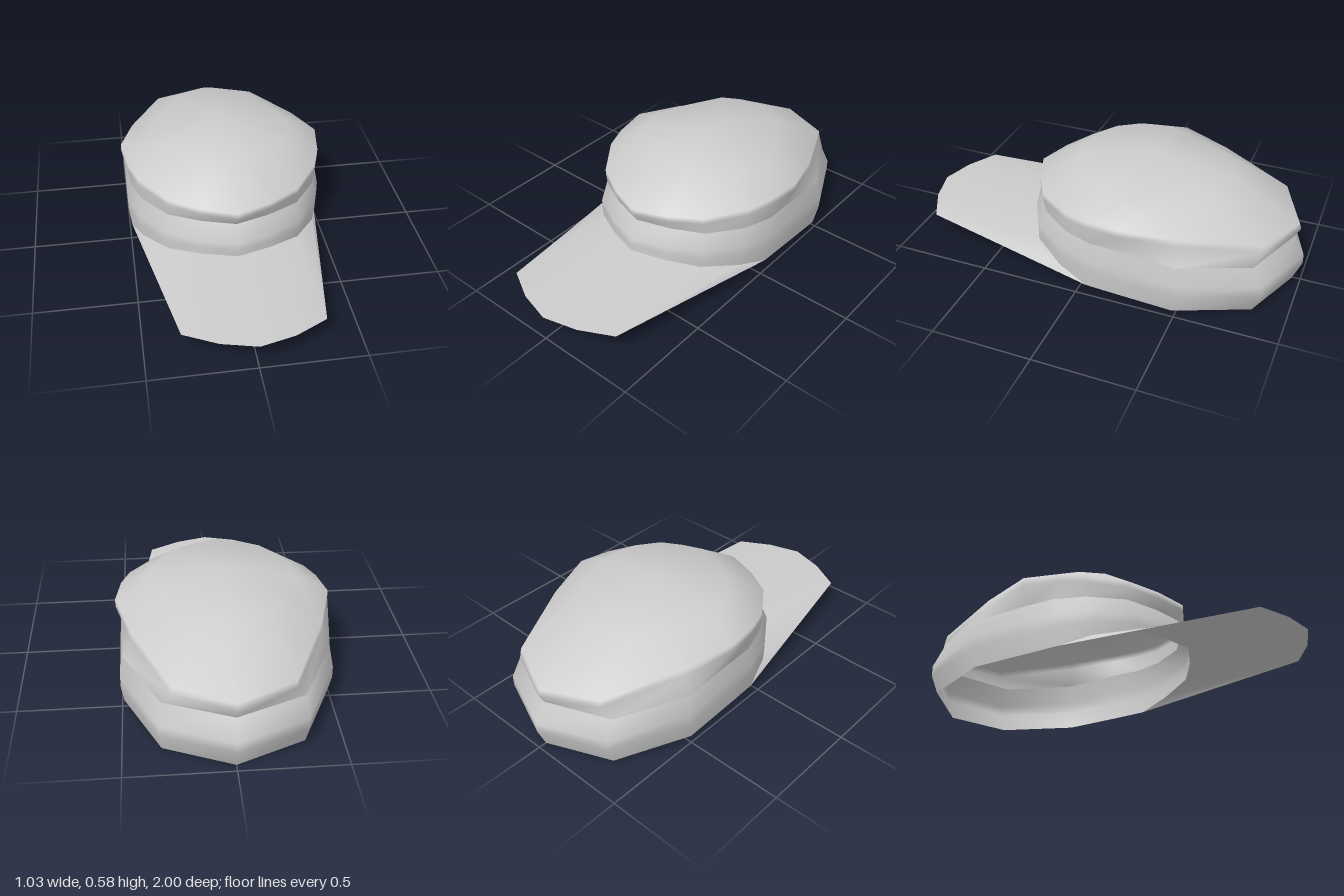
import * as THREE from 'three';
import { mergeVertices } from 'three/addons/utils/BufferGeometryUtils.js';

const material = new THREE.MeshStandardMaterial({ color: 0xcccccc, side: THREE.DoubleSide });

// Half outlines from back to front: [x as part of half width, position from back 0 to front 1]
const bandOutline = [[0, 0], [0.66, 0.093], [1, 0.343], [1, 0.55], [1, 0.664], [0.9, 0.779], [0.66, 0.9], [0.34, 0.96], [0, 1]];
const crownOutline = [[0, 0], [0.53, 0.09], [0.86, 0.36], [1, 0.54], [0.95, 0.67], [0.87, 0.76], [0.62, 0.89], [0.33, 0.955], [0, 1]];
const SIDE = 0.55;

// Adds the mirrored right half to a left half running back to front
const mirror = (half) => [...half, ...half.slice(1, -1).reverse().map(([x, y, z]) => [-x, y, z])];

// Closed ring; y is [back, side, front] or one height per half-outline point
function ring(outline, width, back, front, y) {
  return mirror(outline.map(([x, u], i) => {
    const h = y.length > 3 ? y[i]
      : u < SIDE ? THREE.MathUtils.lerp(y[0], y[1], u / SIDE)
        : THREE.MathUtils.lerp(y[1], y[2], (u - SIDE) / (1 - SIDE));
    return [x * width, h, THREE.MathUtils.lerp(back, front, u)];
  }));
}

// Smooth skin across a list of equal-length rows
function skin(name, rows, closed) {
  const n = rows[0].length;
  const index = [];
  for (let r = 0; r < rows.length - 1; r++) {
    for (let c = 0; c < (closed ? n : n - 1); c++) {
      const a = r * n + c, b = r * n + (c + 1) % n;
      index.push(a, a + n, b, b, a + n, b + n);
    }
  }
  let geometry = new THREE.BufferGeometry();
  geometry.setAttribute('position', new THREE.Float32BufferAttribute(rows.flat(2), 3));
  geometry.setIndex(index);
  geometry = mergeVertices(geometry, 1e-4);
  geometry.computeVertexNormals();
  const mesh = new THREE.Mesh(geometry, material);
  mesh.name = name;
  return mesh;
}

export function createModel() {
  const cap = new THREE.Group();
  cap.name = 'cap';

  // Head band, open underneath, raised at the front where the visor joins
  const hem = ring(bandOutline, 0.49, -0.96, 0.41,
    [0.0, 0.01, 0.027, 0.041, 0.05, 0.095, 0.128, 0.143, 0.15]);
  const seam = ring(bandOutline, 0.485, -0.94, 0.36, [0.245, 0.297, 0.31]);
  cap.add(skin('headBand', [
    hem,
    ring(bandOutline, 0.502, -1, 0.41, [0.1, 0.135, 0.185]),
    ring(bandOutline, 0.502, -1, 0.41, [0.15, 0.2, 0.225]),
    seam,
  ], true));

  // Overhanging crown with a low domed top
  cap.add(skin('crown', [
    seam,
    ring(crownOutline, 0.515, -0.97, 0.39, [0.3, 0.4, 0.36]),
    ring(crownOutline, 0.515, -0.96, 0.39, [0.33, 0.437, 0.39]),
    ring(crownOutline, 0.36, -0.62, 0.15, [0.52, 0.508, 0.545]),
    ring(crownOutline, 0, -0.23, -0.23, [0.578, 0.578, 0.578]),
  ], true));

  // Thin visor running from the band sides to a rounded tip
  const edge = mirror([[0, 0, 0], [0.49, 0.05, hem[4][2]], [0.41, 0.088, 0.41],
    [0.33, 0.125, 0.87], [0.17, 0.129, 0.955], [0, 0.132, 1]]).slice(1);
  cap.add(skin('visor', [edge, hem.slice(4, 13)], false));

  return cap;
}
